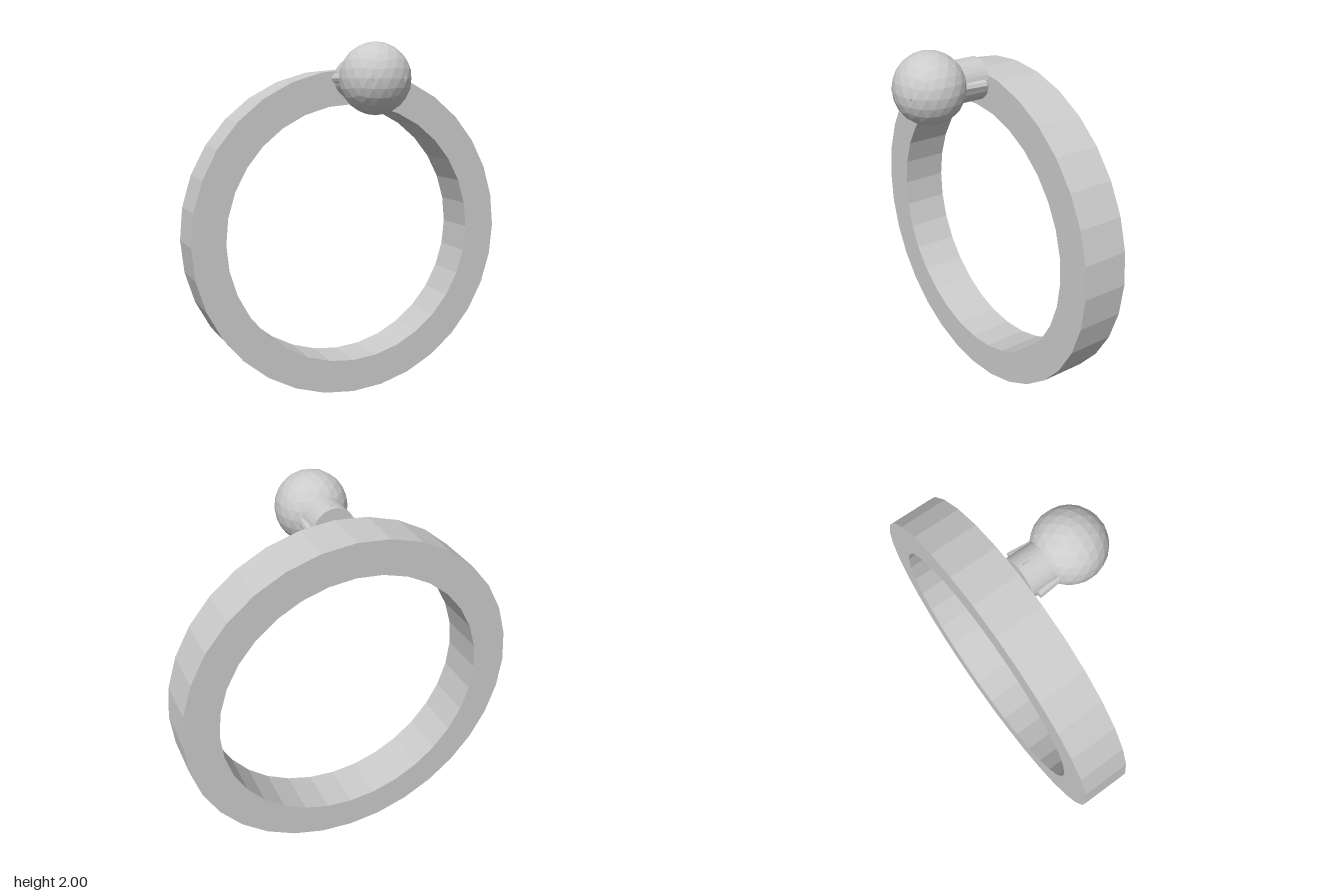
import * as THREE from 'three';

const material = new THREE.MeshStandardMaterial({ color: 0xcccccc, flatShading: true });

function add(parent, name, geometry) {
  const mesh = new THREE.Mesh(geometry, material);
  mesh.name = name;
  parent.add(mesh);
  return mesh;
}

// Regular polygon with a corner straight up and down
function polygon(PathType, radius, sides) {
  const points = [];
  for (let i = 0; i < sides; i++) {
    const a = (i / sides) * Math.PI * 2;
    points.push(new THREE.Vector2(Math.cos(a) * radius, Math.sin(a) * radius));
  }
  return new PathType(points);
}

export function createModel() {
  const model = new THREE.Group();
  model.name = 'ring';

  // Flat-sided band
  const profile = polygon(THREE.Shape, 0.93, 32);
  profile.holes.push(polygon(THREE.Path, 0.74, 32));
  const band = add(model, 'band', new THREE.ExtrudeGeometry(profile, { depth: 0.26, bevelEnabled: false }));
  band.position.set(0, 0.93, -0.37);

  // Setting: local origin on the axis through the stone
  const setting = new THREE.Group();
  setting.name = 'setting';
  setting.position.y = 1.81;
  model.add(setting);

  // Short stem from the band into the stone
  const stem = add(setting, 'stem', new THREE.CylinderGeometry(0.112, 0.112, 0.21, 32));
  stem.rotation.x = Math.PI / 2;
  stem.position.z = -0.005;

  // Faceted round stone with a corner at its top
  const stone = add(setting, 'stone', new THREE.IcosahedronGeometry(0.19, 3));
  stone.rotation.z = Math.atan(2 / (1 + Math.sqrt(5)));
  stone.position.z = 0.18;

  // Four prongs leaning inward to the front; side pair sits further out
  for (let i = 0; i < 4; i++) {
    const arm = new THREE.Group();
    arm.name = 'prongArm';
    arm.rotation.z = (i * Math.PI) / 2;
    const prong = add(arm, 'prong', new THREE.CylinderGeometry(0.025, 0.025, 0.43, 8));
    prong.rotation.order = 'YXZ';
    prong.rotation.set(Math.PI / 2, -0.1, 0);
    prong.position.set(i % 2 ? 0.07 : 0.093, 0, 0.13);
    setting.add(arm);
  }
  return model;
}
